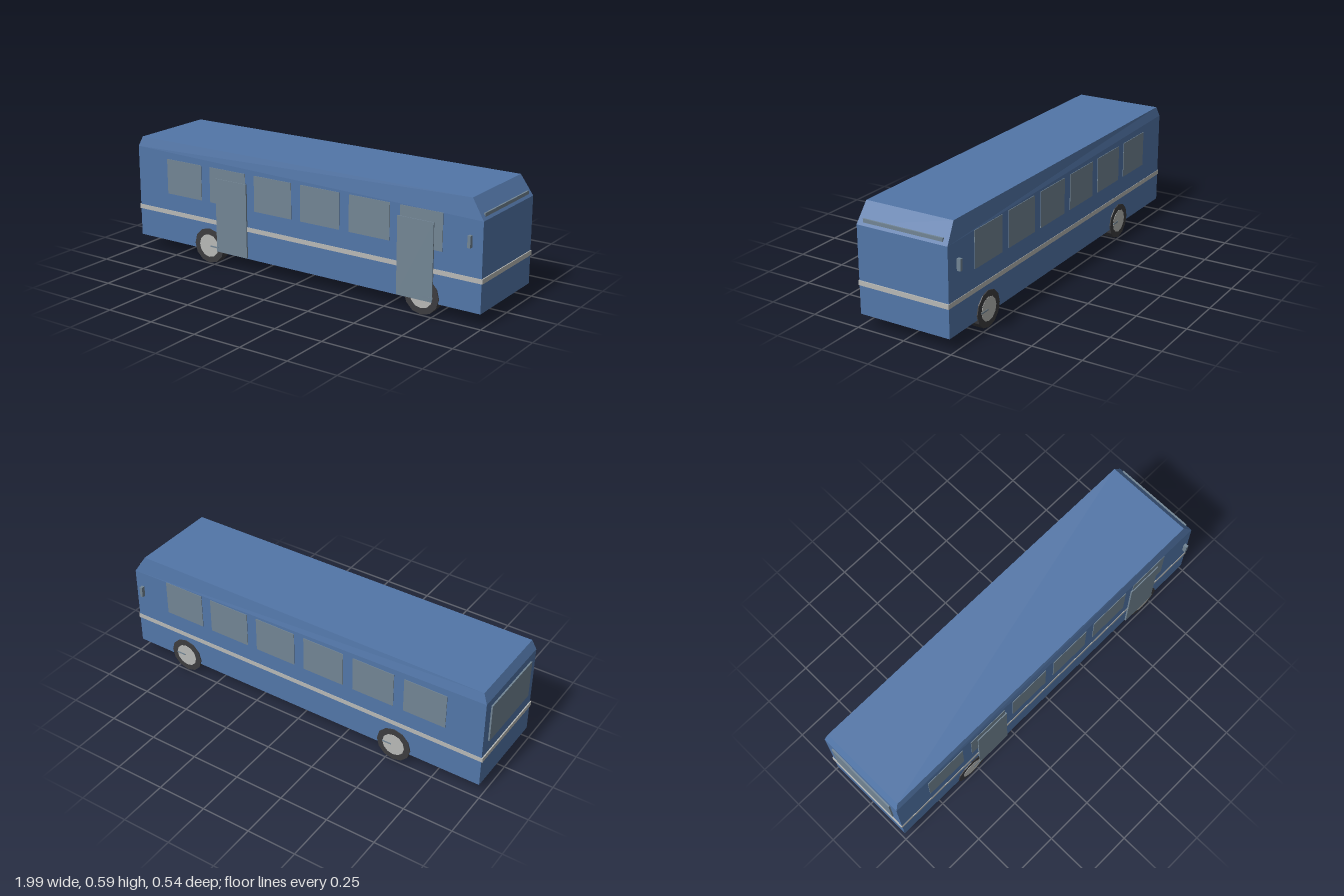
import * as THREE from 'three';

const mat = (name, color, side = THREE.FrontSide) => {
  const m = new THREE.MeshStandardMaterial({ color, side });
  m.name = name;
  return m;
};

export function createModel() {
  const bus = new THREE.Group();
  bus.name = 'bus';
  const blue = mat('body blue', 0x5276a8);
  const glass = mat('grey glass', 0x728594);
  const silver = mat('silver trim', 0xb8b9b6);
  const rubber = mat('tyre rubber', 0x3c3c3f);

  const add = (name, geometry, material, parent = bus) => {
    const mesh = new THREE.Mesh(geometry, material);
    mesh.name = name;
    parent.add(mesh);
    return mesh;
  };
  // Box given by its lower and upper corners
  const box = (name, material, [x0, y0, z0], [x1, y1, z1]) => {
    const mesh = add(name, new THREE.BoxGeometry(x1 - x0, y1 - y0, z1 - z0), material);
    mesh.position.set((x0 + x1) / 2, (y0 + y1) / 2, (z0 + z1) / 2);
    return mesh;
  };

  // Body: three rings of four corners (floor, eaves, roof), narrowing above the eaves
  const rings = [
    { back: [-0.989, 0.066], front: [0.99, 0.066], w: 0.238 },
    { back: [-0.989, 0.538], front: [0.99, 0.493], w: 0.238 },
    { back: [-0.968, 0.588], front: [0.928, 0.588], w: 0.228 },
  ];
  const corners = [];
  for (const { back, front, w } of rings) {
    corners.push(...back, w, ...front, w, ...front, -w, ...back, -w);
  }
  const index = [0, 2, 1, 0, 3, 2, 8, 9, 10, 8, 10, 11];
  for (let r = 0; r < 8; r += 4) {
    for (let i = 0; i < 4; i++) {
      const a = r + i, b = r + (i + 1) % 4;
      index.push(a, b, b + 4, a, b + 4, a + 4);
    }
  }
  const shell = new THREE.BufferGeometry();
  shell.setAttribute('position', new THREE.Float32BufferAttribute(corners, 3));
  shell.setIndex(index);
  const flat = shell.toNonIndexed();
  flat.computeVertexNormals();
  add('body', flat, blue);

  // Trim band all the way round
  box('trimBand', silver, [-0.995, 0.207, -0.24], [0.995, 0.23, 0.24]);

  // Side windows and mirrors, both sides
  for (const s of [1, -1]) {
    const side = s > 0 ? 'left' : 'right';
    const zs = (a, b) => (s > 0 ? [a, b] : [-b, -a]);
    const [w0, w1] = zs(0.234, 0.241);
    for (let i = 0; i < 6; i++) {
      const x = -0.688 + i * 0.274;
      box(`${side}Window${i + 1}`, glass, [x - 0.11, 0.318, w0], [x + 0.11, 0.498, w1]);
    }
    const [m0, m1] = zs(0.251, 0.27);
    box(`${side}Mirror`, glass, [0.93, 0.371, m0], [0.945, 0.427, m1]);
  }

  // Doors on one side only
  for (const x of [-0.39, 0.655]) {
    box('door', glass, [x - 0.094, 0.07, 0.237], [x + 0.094, 0.447, 0.246]);
  }

  // Windscreen edge showing through the sloped brow, and rear window
  box('windscreen', glass, [0.974, 0.35, -0.209], [0.982, 0.522, 0.209]);
  box('rearWindow', glass, [-0.997, 0.3, -0.19], [-0.988, 0.5, 0.19]);

  // Wheels: tyre, hub and a thin radial marker
  const tyreGeo = new THREE.CylinderGeometry(0.09, 0.09, 0.056, 12).toNonIndexed();
  tyreGeo.computeVertexNormals();
  tyreGeo.rotateX(Math.PI / 2);
  const hubGeo = new THREE.CylinderGeometry(0.059, 0.059, 0.059, 12).rotateX(Math.PI / 2);
  const pinGeo = new THREE.BoxGeometry(0.05, 0.007, 0.063);
  for (const x of [-0.536, 0.692]) {
    for (const s of [1, -1]) {
      const wheel = new THREE.Group();
      wheel.name = 'wheel';
      wheel.position.set(x, 0.09, s * 0.215);
      add('tyre', tyreGeo, rubber, wheel);
      add('hub', hubGeo, silver, wheel);
      add('hubMarker', pinGeo, glass, wheel).position.x = 0.035;
      bus.add(wheel);
    }
  }
  return bus;
}
